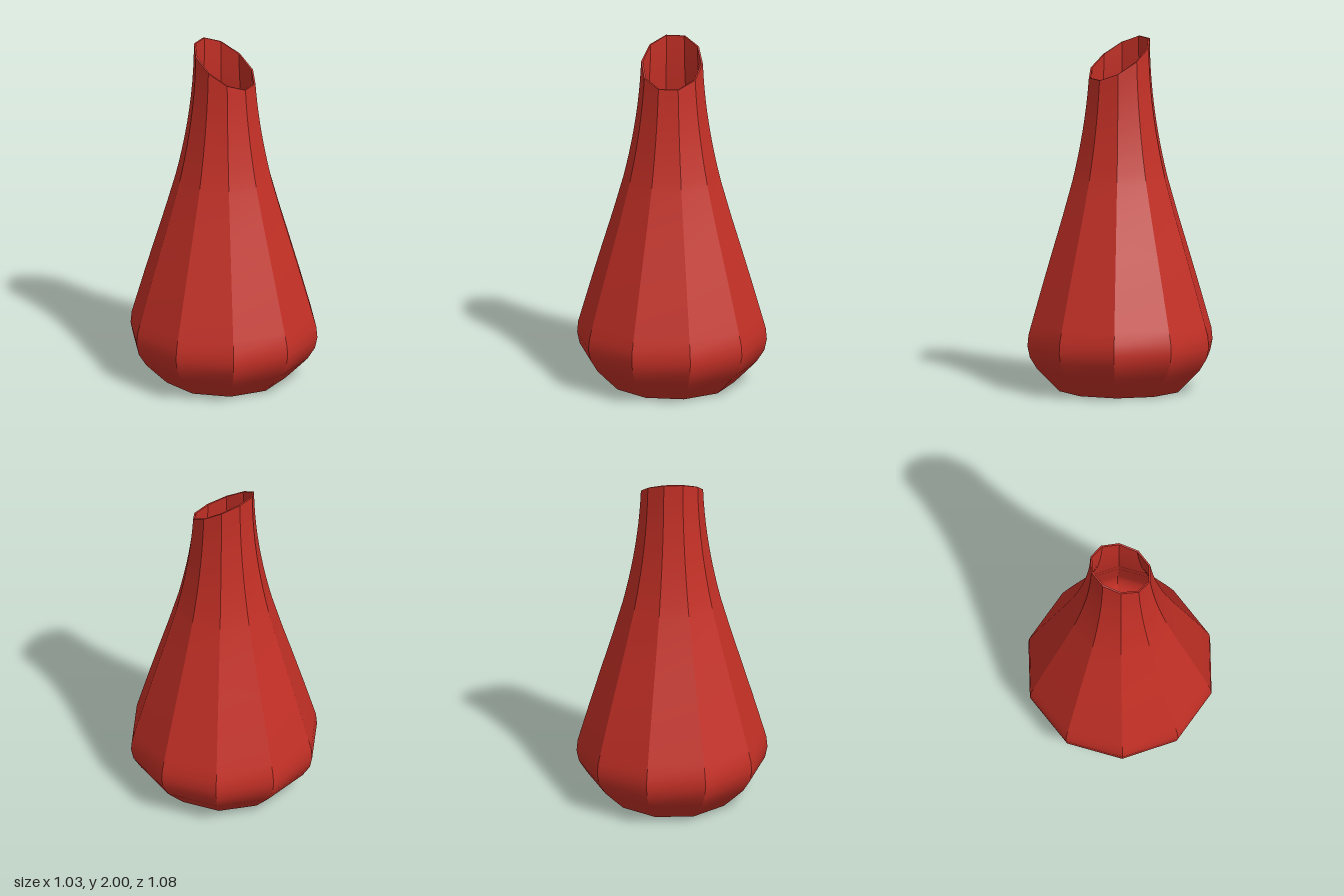
import * as THREE from 'three';

const SIDES = 10;
const WALL = 0.01;
const NECK = 1.2;

// Height and corner radius of the body below the neck
const BODY = [
  [0, 0.352], [0.065, 0.418], [0.13, 0.482], [0.2, 0.526], [0.265, 0.54], [0.33, 0.534],
  [0.4, 0.514], [0.6, 0.456], [0.8, 0.396], [1.0, 0.335], [NECK, 0.278],
];

// Neck radius: eases from the body slope to a vertical rim
function neckRadius(y) {
  const t = (y - NECK) / (2 - NECK), t2 = t * t, t3 = t2 * t;
  return 0.278 * (2 * t3 - 3 * t2 + 1) + 0.174 * (3 * t2 - 2 * t3) - 0.2 * (t3 - 2 * t2 + t);
}

// [height, radius] rows at one corner; the neck ends on a slanted plane
function wallRows(angle) {
  const top = 1.893 - 0.64 * 0.176 * Math.sin(angle);
  const rows = BODY.slice();
  for (let i = 1; i <= 10; i++) {
    const y = NECK + (top - NECK) * i / 10;
    rows.push([y, neckRadius(y)]);
  }
  return rows;
}

const innerRows = a => wallRows(a).map(([y, r]) => [Math.max(y, WALL), r - WALL]);

function rimRows(a) {
  const [y, r] = wallRows(a).at(-1);
  return [[y, r], [y, r - WALL]];
}

// Facets with hard edges between them and smooth normals along their height
function facetedSurface(rowsAt, flip = false) {
  const pos = [], index = [];
  for (let s = 0; s < SIDES; s++) {
    const base = pos.length / 3;
    const angles = [s, s + 1].map(k => k * Math.PI * 2 / SIDES);
    const cols = angles.map(rowsAt);
    cols[0].forEach((_, i) => cols.forEach((col, c) => {
      const [y, r] = col[i];
      pos.push(r * Math.sin(angles[c]), y, r * Math.cos(angles[c]));
    }));
    for (let i = 0; i < cols[0].length - 1; i++) {
      const a = base + i * 2, b = a + 1, c = a + 3, d = a + 2;
      index.push(...(flip ? [a, c, b, a, d, c] : [a, b, c, a, c, d]));
    }
  }
  const geo = new THREE.BufferGeometry();
  geo.setAttribute('position', new THREE.Float32BufferAttribute(pos, 3));
  geo.setIndex(index);
  geo.computeVertexNormals();
  return geo;
}

export function createModel() {
  const red = new THREE.MeshStandardMaterial({ color: 0xc43026 });
  red.name = 'red glaze';
  const vase = new THREE.Group();
  vase.name = 'vase';
  const add = (name, geo) => {
    const mesh = new THREE.Mesh(geo, red);
    mesh.name = name;
    vase.add(mesh);
  };

  add('outerWall', facetedSurface(wallRows));
  add('innerWall', facetedSurface(innerRows, true));
  add('slantedRim', facetedSurface(rimRows));
  add('base', facetedSurface(() => [[0, 0.352], [0, 0]], true));
  add('innerFloor', facetedSurface(() => [[WALL, 0.342], [WALL, 0]]));
  return vase;
}
